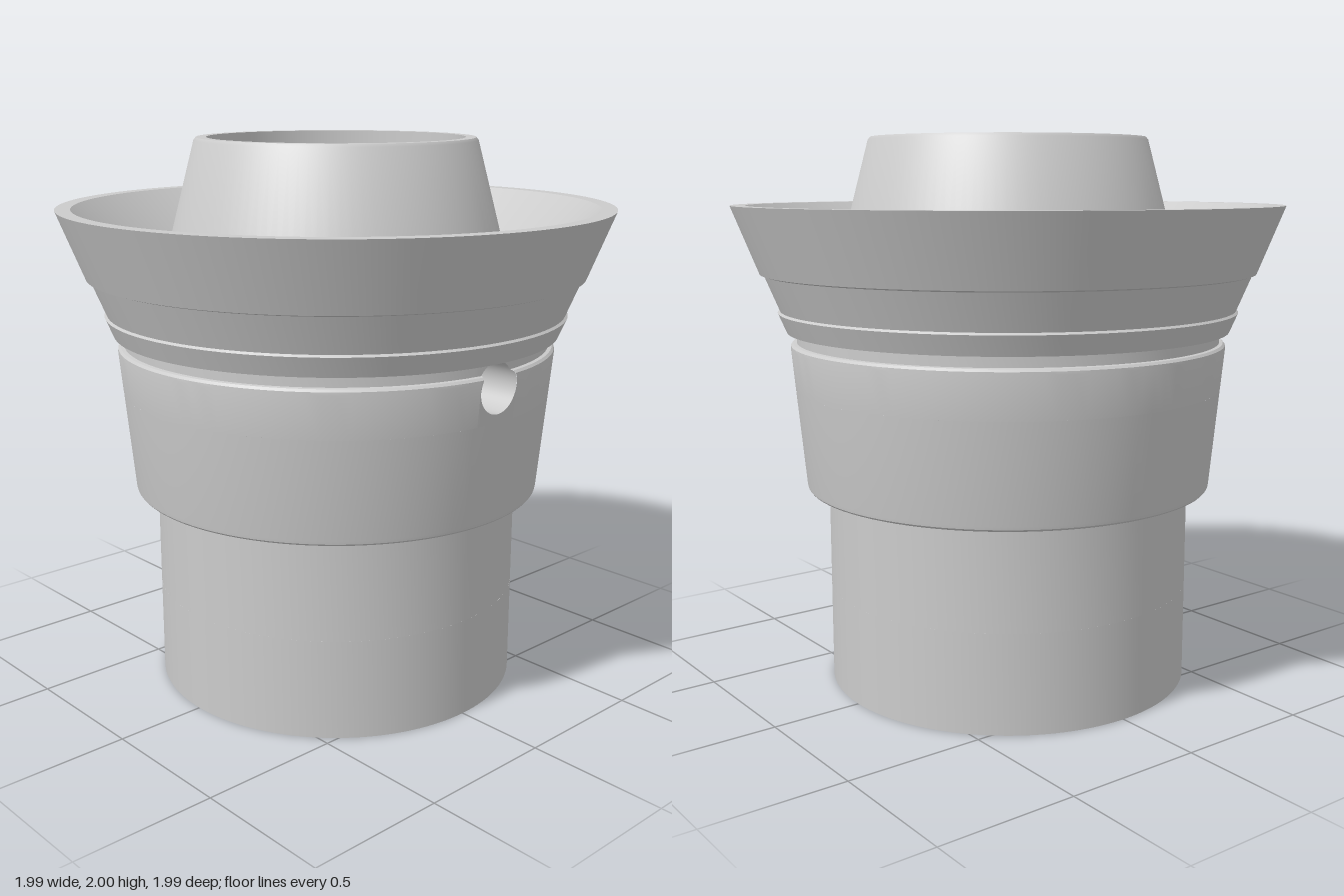
import * as THREE from 'three';
import { toCreasedNormals } from 'three/addons/utils/BufferGeometryUtils.js';

const SEG = 96;
const HOLE = { y: 1.22, r: 0.088, floor: 0.55 };
const BAND_R = 0.787;                       // mean radius around the side hole
const GAP = Math.asin(0.09 / BAND_R);       // half angle of the pierced patch

// Outer wall around the side hole, from the tapered body up through the groove
const BAND = [[0.783, 1.1], [0.797, 1.25], [0.796, 1.26], [0.788, 1.268], [0.775, 1.27], [0.775, 1.31]];

function bandRadius(y) {
  for (let i = 1; i < BAND.length; i++) {
    const [r0, y0] = BAND[i - 1], [r1, y1] = BAND[i];
    if (y <= y1) return r0 + (r1 - r0) * (y - y0) / (y1 - y0);
  }
  return BAND[BAND.length - 1][0];
}

// Grid of points p(i, j): i runs to the right, j runs upwards
function grid(nu, nv, p) {
  const pos = [], index = [];
  for (let i = 0; i <= nu; i++) for (let j = 0; j <= nv; j++) pos.push(...p(i, j));
  for (let i = 0; i < nu; i++) for (let j = 0; j < nv; j++) {
    const a = i * (nv + 1) + j, b = a + nv + 1;
    index.push(a, b, a + 1, b, b + 1, a + 1);
  }
  const g = new THREE.BufferGeometry();
  g.setAttribute('position', new THREE.Float32BufferAttribute(pos, 3));
  g.setIndex(index);
  g.computeVertexNormals();
  return g;
}

export function createModel() {
  const group = new THREE.Group();
  const mat = new THREE.MeshStandardMaterial({ color: 0xcccccc });
  const add = (name, geo, crease = 0.5) => {
    const mesh = new THREE.Mesh(crease ? toCreasedNormals(geo, crease) : geo, mat);
    mesh.name = name;
    group.add(mesh);
  };
  const lathe = (pts, start = 0, length = Math.PI * 2) =>
    new THREE.LatheGeometry(pts.map(([x, y]) => new THREE.Vector2(x, y)), SEG, start, length);

  // Base tube with a ten-sided socket
  const ring = new THREE.Shape().absarc(0, 0, 0.67, 0, Math.PI * 2, false);
  const socket = [];
  for (let i = 0; i < 10; i++) {
    const a = THREE.MathUtils.degToRad(239 + 36 * i);
    socket.push(new THREE.Vector2(0.6 * Math.cos(a), 0.6 * Math.sin(a)));
  }
  ring.holes.push(new THREE.Path(socket));
  const base = new THREE.ExtrudeGeometry(ring, { depth: 0.36, bevelEnabled: false, curveSegments: SEG });
  add('socketBase', base.rotateX(-Math.PI / 2));

  // Upper tube and the tapered body with rounded lower edge
  add('lowerBody', lathe([
    [0.67, 0.36], [0.67, 0.73], [0.735, 0.73], [0.743, 0.733], [0.748, 0.739], [0.75, 0.75], BAND[0],
  ]));

  // Body top and groove, left open in front for the pierced patch
  add('grooveBand', lathe(BAND, GAP, Math.PI * 2 - 2 * GAP));

  // Pierced patch: strips below and above the hole
  const N = 48;
  const halfHeight = (phi) => Math.sqrt(Math.max(0, HOLE.r ** 2 - (BAND_R * Math.sin(phi)) ** 2));
  const onBand = (phi, y) => {
    const r = bandRadius(y);
    return [r * Math.sin(phi), y, r * Math.cos(phi)];
  };
  const phiAt = (i) => -GAP * Math.cos(Math.PI * i / N);
  add('patchBelowHole', grid(N, 3, (i, j) => {
    const phi = phiAt(i);
    return onBand(phi, 1.1 + (HOLE.y - halfHeight(phi) - 1.1) * j / 3);
  }));
  const levels = [HOLE.y, ...BAND.slice(1).map((p) => p[1])];
  add('patchAboveHole', grid(N, levels.length - 1, (i, j) => {
    const phi = phiAt(i);
    return onBand(phi, Math.max(levels[j], HOLE.y + halfHeight(phi)));
  }));

  // Side hole: inward-facing wall and flat floor
  add('sideHoleWall', grid(N, 1, (i, j) => {
    const a = Math.PI * 2 * i / N;
    const x = HOLE.r * Math.cos(a), y = HOLE.y + HOLE.r * Math.sin(a);
    return [x, y, j ? HOLE.floor : Math.sqrt(bandRadius(y) ** 2 - x * x)];
  }).scale(1, 1, 1), 0.5);
  add('sideHoleFloor', new THREE.CircleGeometry(HOLE.r, N).translate(0, HOLE.y, HOLE.floor), 0);

  // Stepped flared collar, bowl, inner cone, bore and socket ledge
  add('flaredCollar', lathe([
    [0.775, 1.31], [0.81, 1.31], [0.84, 1.38], [0.832, 1.387], [0.885, 1.515], [0.9, 1.52],
    [0.995, 1.76], [0.94, 1.76], [0.64, 1.48], [0.505, 1.99], [0.497, 2], [0.46, 2],
    [0.46, 0.36], [0.65, 0.36],
  ]));
  return group;
}
